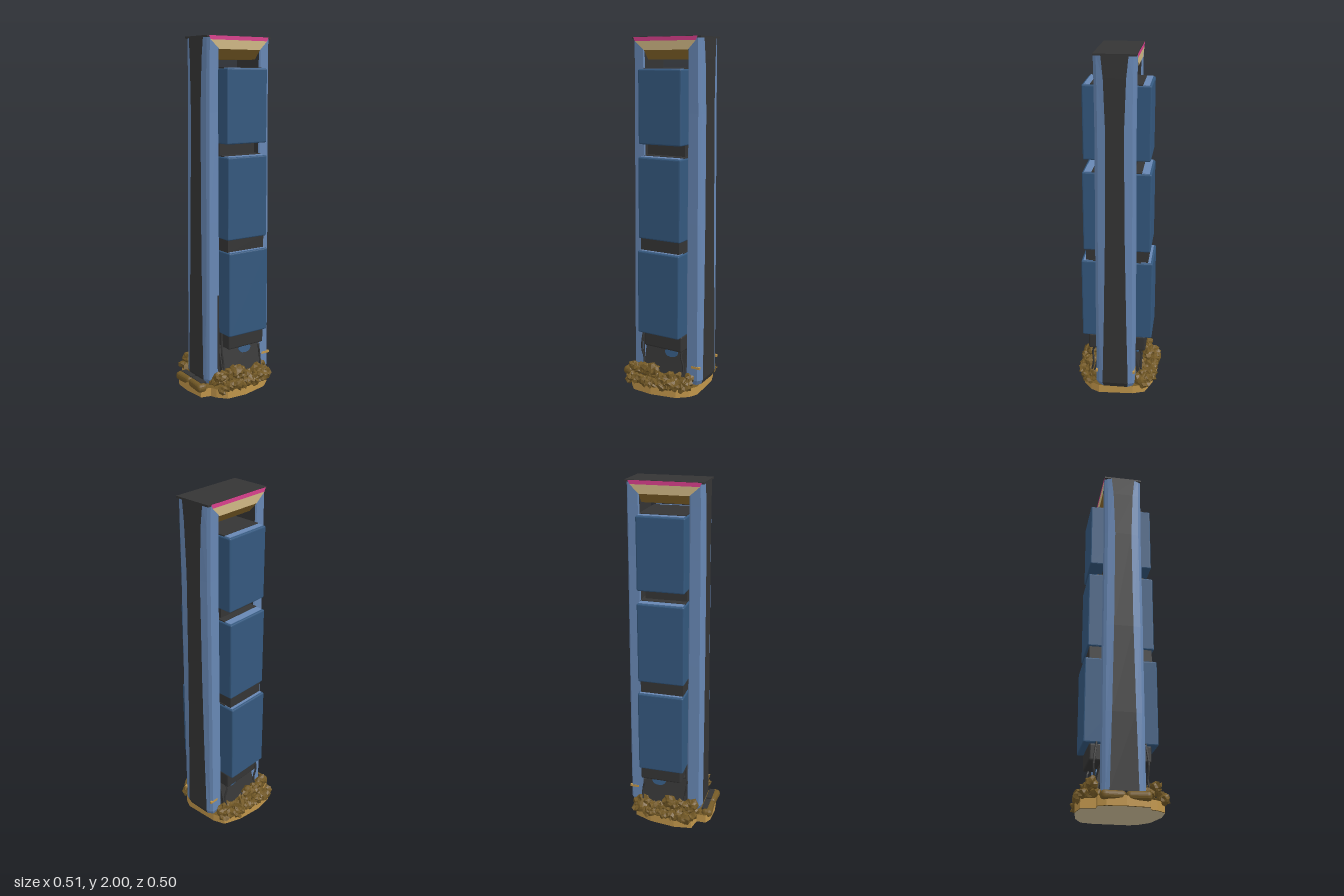
import * as THREE from 'three';
import { RoundedBoxGeometry } from 'three/addons/geometries/RoundedBoxGeometry.js';

const mat = (name, color) => new THREE.MeshStandardMaterial({ name, color, flatShading: true });

export function createModel() {
  const M = {
    frame: mat('light blue frame', 0x6787b4),
    panel: mat('dark blue panel', 0x34587e),
    dark: mat('charcoal', 0x353535),
    rock: mat('brown rubble', 0x735926),
    tan: mat('tan earth', 0xc0954a),
    beige: mat('beige lintel', 0xd2ba86),
    gold: mat('dark gold lintel', 0x8a6a2c),
    pink: mat('pink trim', 0xd8408c),
    under: mat('pale underside', 0xd2c29c),
  };
  const model = new THREE.Group();
  let seed = 7;
  const rnd = () => (seed = (seed * 16807) % 2147483647) / 2147483647;

  const add = (name, geo, material, x = 0, y = 0, z = 0) => {
    const mesh = new THREE.Mesh(geo, material);
    mesh.name = name;
    mesh.position.set(x, y, z);
    model.add(mesh);
    return mesh;
  };
  // box given by its limits
  const box = (name, m, x0, x1, y0, y1, z0, z1, r = 0) => {
    const s = [x1 - x0, y1 - y0, z1 - z0];
    const geo = r ? new RoundedBoxGeometry(...s, 2, r) : new THREE.BoxGeometry(...s);
    return add(name, geo, m, (x0 + x1) / 2, (y0 + y1) / 2, (z0 + z1) / 2);
  };
  // four corners, counter-clockwise from the front
  const quad = (name, m, a, b, c, d) => {
    const geo = new THREE.BufferGeometry();
    geo.setAttribute('position', new THREE.Float32BufferAttribute([a, b, c, a, c, d].flat(), 3));
    geo.computeVertexNormals();
    return add(name, geo, m);
  };

  // Side posts: bevelled section lofted through heights, dark strip on the outer face
  // each level: y, outer edge, half width of the dark strip, half depth
  const levels = [
    [0.06, 0.212, 0.07, 0.1], [0.09, 0.224, 0.075, 0.112], [0.5, 0.222, 0.064, 0.112],
    [1.0, 0.219, 0.054, 0.11], [1.6, 0.215, 0.048, 0.106], [1.88, 0.213, 0.058, 0.108],
    [1.995, 0.211, 0.07, 0.11],
  ];
  const cx = 0.033;
  const makePost = (side) => {
    const section = ([, o, d, h]) => [
      [o, d], [o - 0.008, h - 0.016], [o - 0.018, h], [0.141, h], [0.135, h - 0.007],
      [0.135, -h + 0.007], [0.141, -h], [o - 0.018, -h], [o - 0.008, -h + 0.016], [o, -d],
    ];
    const pos = [], groups = [];
    for (let i = 0; i < levels.length - 1; i++) {
      const lo = section(levels[i]), hi = section(levels[i + 1]);
      for (let k = 0; k < 10; k++) {
        const n = (k + 1) % 10;
        const p = (s, j, l) => [cx + side * s[j][0], l[0], s[j][1]];
        const a = p(lo, k, levels[i]), b = p(lo, n, levels[i]);
        const c = p(hi, n, levels[i + 1]), d = p(hi, k, levels[i + 1]);
        groups.push([pos.length / 3, k === 9 || k === 4 ? 1 : 0]);
        pos.push(...(side > 0 ? [a, c, b, a, d, c] : [a, b, c, a, c, d]).flat());
      }
    }
    const geo = new THREE.BufferGeometry();
    geo.setAttribute('position', new THREE.Float32BufferAttribute(pos, 3));
    groups.forEach(([start, m]) => geo.addGroup(start, 6, m));
    geo.computeVertexNormals();
    add(side > 0 ? 'leftPost' : 'rightPost', geo, [M.frame, M.dark]);
  };
  makePost(1);
  makePost(-1);

  // Roof slab
  box('roof', M.dark, -0.178, 0.244, 1.99, 2, -0.11, 0.11);

  // Lintel: pink edge, mitred beige band and sloped gold soffit, on both faces
  for (const s of [1, -1]) {
    const face = (name, m, x0, x1, y0, z0, X0, X1, y1, z1) => {
      const a = [x0, y0, s * z0], b = [x1, y0, s * z0], c = [X1, y1, s * z1], d = [X0, y1, s * z1];
      return s > 0 ? quad(name, m, a, b, c, d) : quad(name, m, b, a, d, c);
    };
    face('lintelTrim', M.pink, -0.158, 0.216, 1.978, 0.113, -0.168, 0.226, 1.999, 0.113);
    face('lintelBand', M.beige, -0.102, 0.168, 1.93, 0.111, -0.158, 0.216, 1.978, 0.113);
    face('lintelSoffit', M.gold, -0.102, 0.168, 1.88, 0.065, -0.102, 0.168, 1.93, 0.111);
  }
  quad('lintelUnderside', M.gold, [-0.102, 1.88, -0.065], [0.168, 1.88, -0.065], [0.168, 1.88, 0.065], [-0.102, 1.88, 0.065]);

  // Three projecting panels, passing through from front to back
  for (const [y0, y1, z] of [[0.355, 0.835, 0.202], [0.905, 1.36, 0.188], [1.43, 1.83, 0.181]]) {
    box('panel', M.panel, -0.098, 0.167, y0, y1, -z, z, 0.008);
    box('panelTopStrip', M.frame, -0.088, 0.158, y1, y1 + 0.003, -z + 0.012, z - 0.012);
    box('panelTopPlate', M.dark, -0.09, 0.16, y1, y1 + 0.006, -0.135, 0.135);
  }
  // tan chips lying on the lower panel
  for (const s of [1, -1]) box('chip', M.tan, 0.05, 0.145, 0.838, 0.845, s * 0.155 - 0.015, s * 0.155 + 0.015);

  // Dark links between panels
  box('upperLink', M.dark, -0.09, 0.145, 1.355, 1.435, -0.095, 0.095);
  box('middleLink', M.dark, -0.09, 0.155, 0.83, 0.91, -0.175, 0.175);
  box('lowerBlock', M.dark, -0.078, 0.167, 0.265, 0.36, -0.167, 0.167, 0.01);
  box('foot', M.dark, -0.11, 0.175, 0.05, 0.27, -0.1, 0.1);

  for (const s of [1, -1]) {
    // sloped apron with a blue patch
    const apron = box('apron', M.dark, -0.1, 0.17, 0.08, 0.26, -0.01, 0.01);
    apron.position.z = s * 0.115;
    apron.rotation.x = -s * 0.25;
    const patch = add('bluePatch', new THREE.CylinderGeometry(0.043, 0.043, 0.006, 12), M.panel, 0.072, 0.232, s * 0.112);
    patch.rotation.x = s * (Math.PI / 2 - 0.25);
    patch.scale.z = 0.65;
    // cables hanging to the rubble
    for (const [x, top] of [[-0.1, 0.36], [0.16, 0.28]]) {
      const path = new THREE.CatmullRomCurve3([
        [x, top, 0.13], [x - 0.008, 0.24, 0.145], [x + 0.005, 0.17, 0.14], [x, 0.08, 0.16],
      ].map(([a, b, c]) => new THREE.Vector3(a, b, s * c)));
      add('cable', new THREE.TubeGeometry(path, 12, 0.006, 5), M.dark);
    }
    box('bracket', M.tan, 0.2, 0.255, 0.162, 0.176, s * 0.108 - 0.006, s * 0.108 + 0.006);
  }
  box('thinRod', M.dark, -0.116, -0.108, 0.12, 0.58, 0.108, 0.116);

  // Earth slab: tan rim, brown top, pale sole
  const outline = [
    [-0.245, -0.1], [-0.225, -0.14], [-0.17, -0.14], [-0.155, -0.215], [-0.05, -0.23], [0.1, -0.21],
    [0.2, -0.17], [0.225, -0.1], [0.235, 0.1], [0.21, 0.15], [0.15, 0.2], [0.0, 0.23],
    [-0.12, 0.22], [-0.165, 0.17], [-0.18, 0.135], [-0.235, 0.12], [-0.25, 0],
  ];
  const shape = new THREE.Shape(outline.map(([x, z]) => new THREE.Vector2(x, -z)));
  const slab = new THREE.ExtrudeGeometry(shape, { depth: 0.05, bevelEnabled: false });
  slab.rotateX(-Math.PI / 2);
  add('earthSlab', slab, [M.rock, M.tan], 0, 0.003, 0);
  const soleShape = new THREE.Shape(outline.map(([x, z]) => new THREE.Vector2(x, z)));
  const sole = new THREE.ShapeGeometry(soleShape);
  sole.rotateX(Math.PI / 2);
  add('underside', sole, M.under);

  // Raised lip of earth along the right edge, with dark inset slabs
  for (const s of [1, -1]) {
    const lip = box('earthLip', M.rock, -0.254, -0.19, 0.03, 0.08, s * 0.065 - 0.066, s * 0.065 + 0.066, 0.022);
    lip.rotation.y = -s * 0.07;
    box('lipInset', M.dark, -0.226, -0.192, 0.07, 0.083, s * 0.057 - 0.05, s * 0.057 + 0.05);
  }

  // Jagged rubble along front and back
  const rubble = (x, y, z, r) => {
    const geo = new THREE.IcosahedronGeometry(r, 1);
    const p = geo.attributes.position, seen = {};
    for (let i = 0; i < p.count; i++) {
      const key = [p.getX(i), p.getY(i), p.getZ(i)].map((v) => Math.round(v * 1e4)).join();
      const k = (seen[key] ??= 0.6 + 0.75 * rnd());
      p.setXYZ(i, p.getX(i) * k, p.getY(i) * k, p.getZ(i) * k);
    }
    geo.computeVertexNormals();
    add('rubble', geo, M.rock, x, y, z);
  };
  for (const s of [1, -1]) {
    for (let i = 0; i < 15; i++) {
      const x = -0.15 + (i / 14) * 0.34;
      const edge = x > 0.1 ? 0.205 - (x - 0.1) * 0.5 : 0.205;
      const high = x < 0 ? 0.115 : 0.078;
      rubble(x, 0.06 + 0.02 * rnd(), s * (edge - 0.005 + 0.015 * rnd()), 0.022 + 0.012 * rnd());
      rubble(x, high + 0.025 * rnd(), s * (edge - 0.045 + 0.02 * rnd()), 0.026 + 0.01 * rnd());
      rubble(x, 0.07 + 0.02 * rnd(), s * (0.125 + 0.02 * rnd()), 0.03);
    }
  }
  return model;
}
